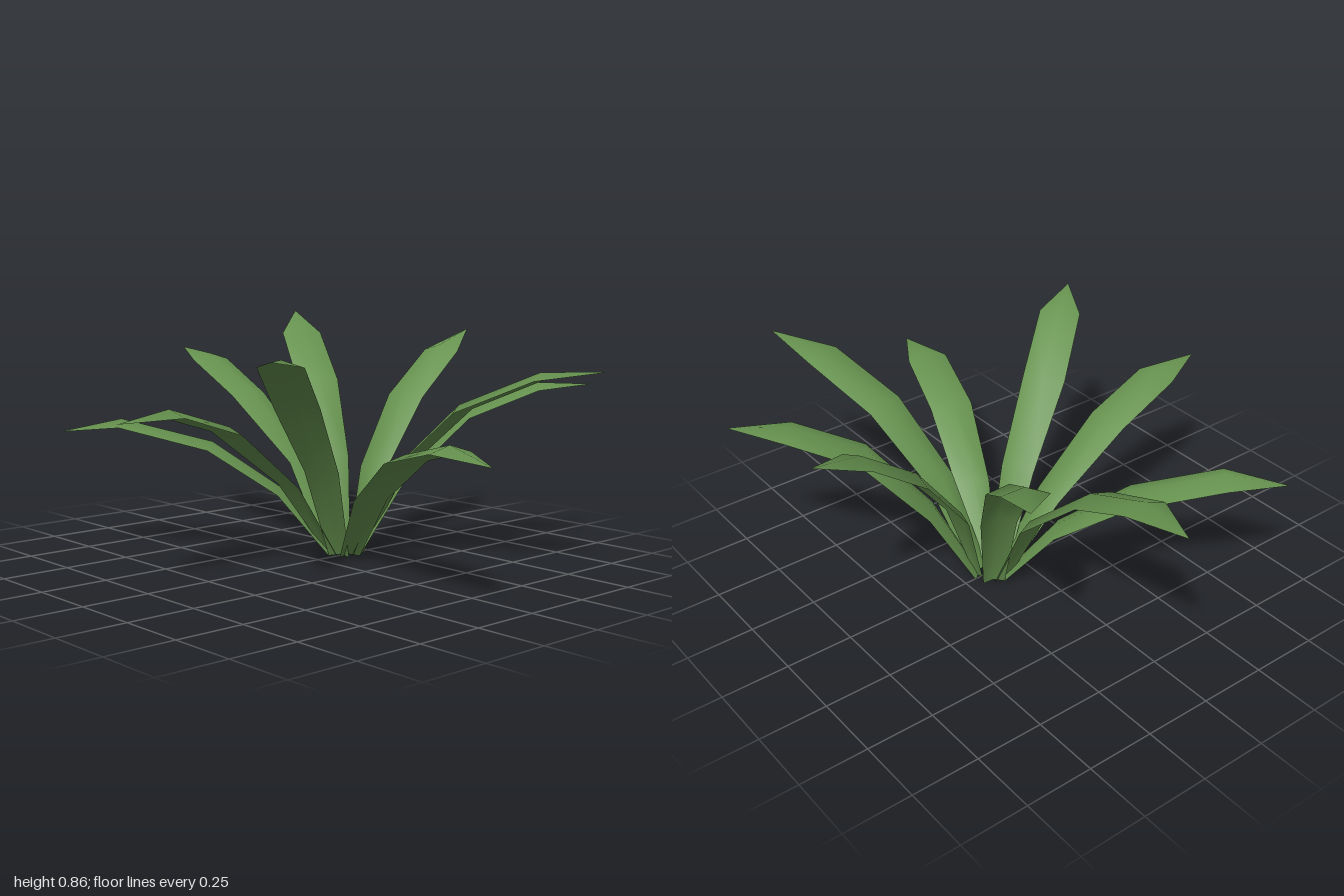
import * as THREE from 'three';

// Midrib points of each leaf from lower bend to tip: [x, y, z]
const LEAVES = [
  [[-0.05, 0.30, 0.09], [-0.05, 0.52, 0.37], [-0.015, 0.605, 0.645], [0.03, 0.59, 0.88]],
  [[0.08, 0.36, 0.05], [0.20, 0.62, 0.27], [0.35, 0.78, 0.47], [0.48, 0.80, 0.62]],
  [[0.22, 0.27, -0.05], [0.49, 0.45, 0.05], [0.765, 0.52, 0.13], [0.99, 0.49, 0.18]],
  [[0.20, 0.35, -0.20], [0.44, 0.59, -0.275], [0.72, 0.715, -0.365], [0.95, 0.74, -0.45]],
  [[0.12, 0.30, -0.30], [0.265, 0.54, -0.48], [0.42, 0.64, -0.69], [0.56, 0.645, -0.86]],
  [[0.00, 0.33, -0.27], [-0.03, 0.59, -0.47], [-0.05, 0.755, -0.69], [-0.09, 0.82, -0.89]],
  [[-0.15, 0.36, -0.21], [-0.34, 0.64, -0.305], [-0.585, 0.81, -0.435], [-0.77, 0.88, -0.56]],
  [[-0.22, 0.35, -0.12], [-0.49, 0.59, -0.08], [-0.76, 0.71, -0.10], [-1.00, 0.735, -0.14]],
  [[-0.18, 0.25, 0.02], [-0.37, 0.42, 0.20], [-0.59, 0.505, 0.45], [-0.73, 0.47, 0.63]],
];
const CROWN = new THREE.Vector3(-0.01, 0.02, -0.14);
const HALF_WIDTHS = [0.04, 0.065, 0.082, 0.078];
const UP = new THREE.Vector3(0, 1, 0);

// Arched blade: three vertices at each station, closing to a single tip
function leafGeometry(points) {
  const spine = points.map((p) => new THREE.Vector3(...p));
  const out = spine[1].clone().sub(CROWN).setY(0).normalize();
  spine.unshift(CROWN.clone().addScaledVector(out, 0.05));
  const positions = [];
  const index = [];
  HALF_WIDTHS.forEach((w, i) => {
    const tangent = spine[i + 1].clone().sub(spine[Math.max(i - 1, 0)]).normalize();
    const side = tangent.clone().cross(UP).normalize();
    const normal = side.clone().cross(tangent);
    for (const j of [-1, 0, 1]) {
      const lift = (j === 0 ? 0.16 : -0.16) * w;
      const v = spine[i].clone().addScaledVector(side, j * w).addScaledVector(normal, lift);
      positions.push(v.x, Math.max(v.y, 0), v.z);
    }
    for (const j of [0, 1]) {
      const a = i * 3 + j;
      if (i < HALF_WIDTHS.length - 1) index.push(a, a + 1, a + 3, a + 1, a + 4, a + 3);
      else index.push(a, a + 1, HALF_WIDTHS.length * 3);
    }
  });
  positions.push(...spine[spine.length - 1].toArray());
  const geometry = new THREE.BufferGeometry();
  geometry.setAttribute('position', new THREE.Float32BufferAttribute(positions, 3));
  geometry.setIndex(index);
  geometry.computeVertexNormals();
  return geometry;
}

export function createModel() {
  const group = new THREE.Group();
  group.name = 'leafyPlant';
  const green = new THREE.MeshStandardMaterial({ color: 0x66924f, side: THREE.DoubleSide });
  green.name = 'leafGreen';
  LEAVES.forEach((points, i) => {
    const leaf = new THREE.Mesh(leafGeometry(points), green);
    leaf.name = `leaf${i + 1}`;
    group.add(leaf);
  });
  return group;
}
